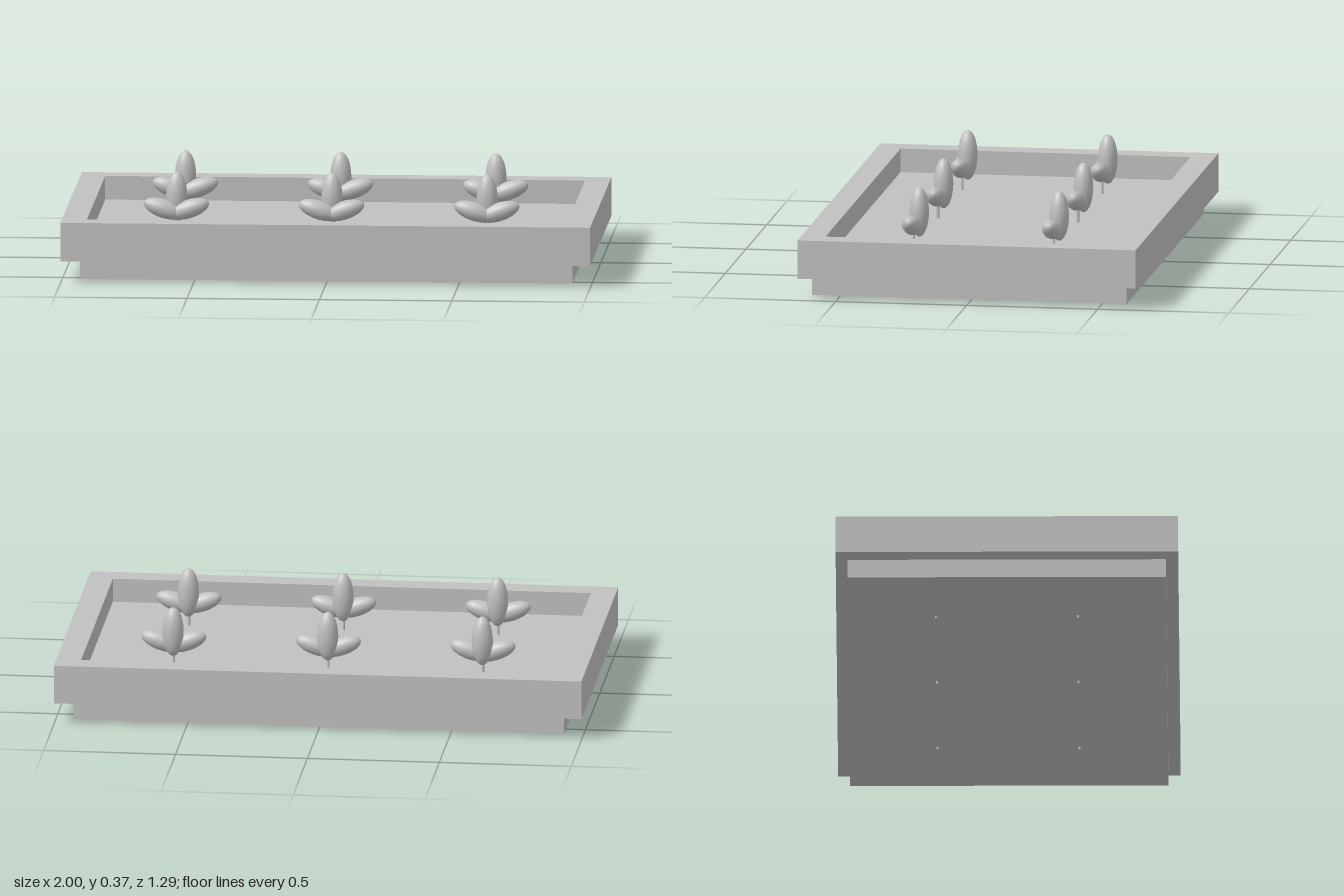
import * as THREE from 'three';

export function createModel() {
  const group = new THREE.Group();
  group.name = 'planterBed';
  const grey = new THREE.MeshStandardMaterial({ color: 0xc0c0c0 });
  grey.name = 'plainGrey';

  const add = (parent, name, geometry, x, y, z) => {
    const mesh = new THREE.Mesh(geometry, grey);
    mesh.name = name;
    mesh.position.set(x, y, z);
    parent.add(mesh);
    return mesh;
  };

  // Soil slab, visible below the frame and inside it
  add(group, 'soilBed', new THREE.BoxGeometry(1.86, 0.13, 1.2), 0, 0.075, 0);

  // Frame boards: long ones run the full width, short ones fit between them
  const longBoard = new THREE.BoxGeometry(2, 0.147, 0.092);
  const shortBoard = new THREE.BoxGeometry(0.094, 0.147, 1.106);
  for (const side of [1, -1]) {
    add(group, side > 0 ? 'frontBoard' : 'backBoard', longBoard, 0, 0.1565, side * 0.599);
    add(group, side > 0 ? 'leftBoard' : 'rightBoard', shortBoard, side * 0.953, 0.1565, 0);
  }

  // Seedlings: a thin stem, one upright leaf and two spreading leaves
  const stem = new THREE.CylinderGeometry(0.005, 0.005, 0.24, 8);
  const uprightLeaf = new THREE.SphereGeometry(1, 24, 16).scale(0.04, 0.095, 0.037);
  const sideLeaf = new THREE.SphereGeometry(1, 24, 16).scale(0.079, 0.035, 0.035);
  for (const z of [-0.267, 0.267]) {
    for (const x of [-0.586, 0, 0.586]) {
      const plant = new THREE.Group();
      plant.name = 'seedling';
      plant.position.set(x, 0, z);
      add(plant, 'stem', stem, 0, 0.12, 0);
      add(plant, 'uprightLeaf', uprightLeaf, 0, 0.275, -0.021);
      for (const side of [1, -1]) {
        const leaf = add(plant, side > 0 ? 'leftLeaf' : 'rightLeaf', sideLeaf, side * 0.048, 0.231, 0);
        leaf.rotation.z = side * 0.33;
      }
      group.add(plant);
    }
  }
  return group;
}
